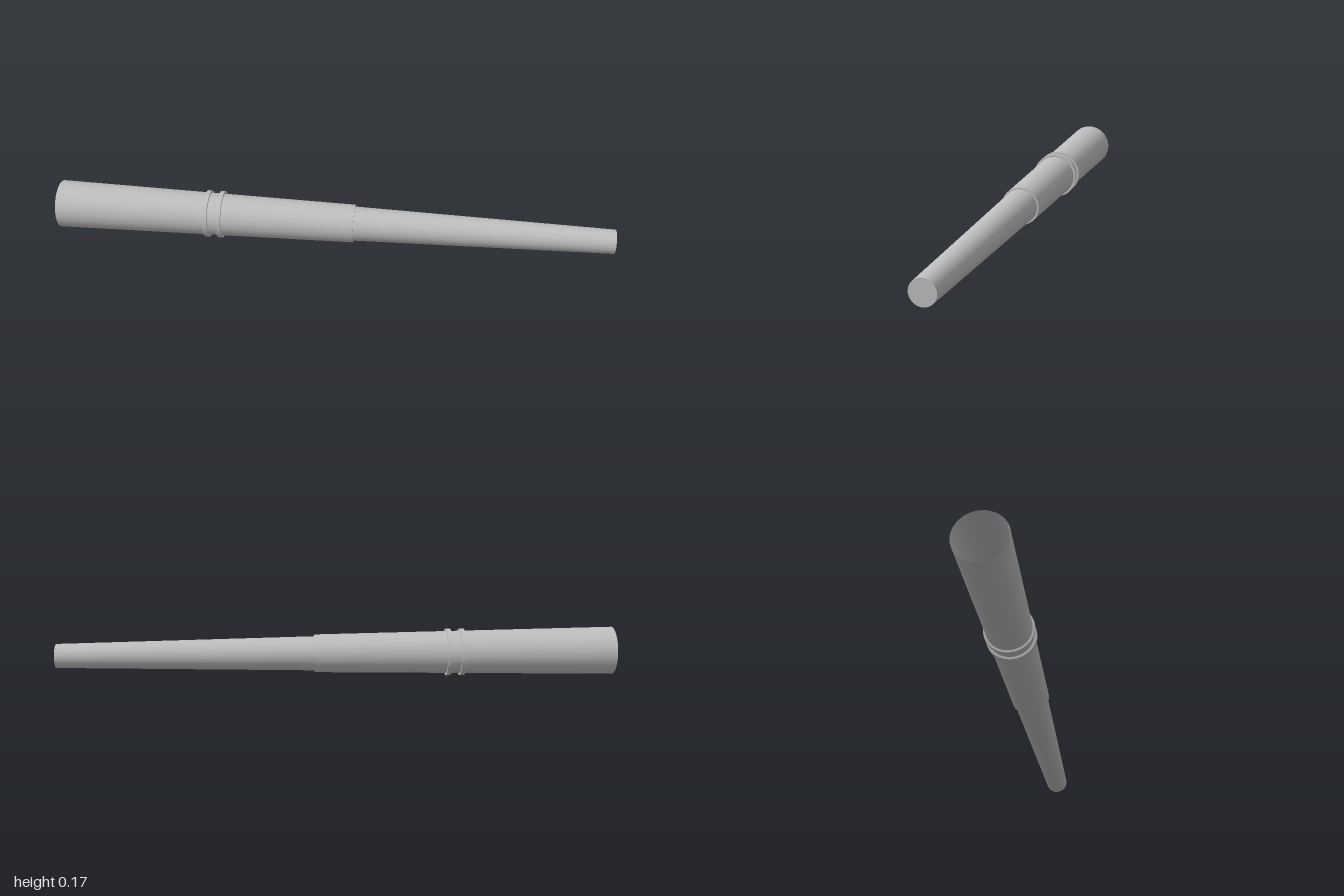
import * as THREE from 'three';
import { mergeGeometries } from 'three/addons/utils/BufferGeometryUtils.js';

const SIDES = 64;
const AXIS_HEIGHT = 0.0855;

// Turned part along x from [radius, x] points; every segment keeps sharp edges
function turned(points) {
  const strips = [];
  for (let i = 0; i < points.length - 1; i++) {
    const pair = [points[i], points[i + 1]].map(([r, x]) => new THREE.Vector2(r, x));
    strips.push(new THREE.LatheGeometry(pair, SIDES));
  }
  return mergeGeometries(strips).rotateZ(-Math.PI / 2);
}

export function createModel() {
  const group = new THREE.Group();
  group.name = 'taperedTube';
  const metal = new THREE.MeshStandardMaterial({ color: 0xbfbfbf, side: THREE.DoubleSide });
  metal.name = 'grey metal';

  function add(name, points) {
    const mesh = new THREE.Mesh(turned(points), metal);
    mesh.name = name;
    mesh.position.y = AXIS_HEIGHT;
    group.add(mesh);
  }

  // Wide section, open at its large end, with a shoulder at the step
  add('wideTube', [[0.0855, -1], [0.068, 0.08], [0.0615, 0.08]]);

  // Narrow section, closed at its small end
  add('narrowTube', [[0.0615, 0.08], [0.043, 1], [0, 1]]);

  // Pair of raised bands
  [-0.452, -0.403].forEach((x, i) => {
    const h = 0.008;
    add(`band${i + 1}`, [[0.075, x - h], [0.0845, x - h], [0.0845, x + h], [0.075, x + h]]);
  });

  return group;
}
